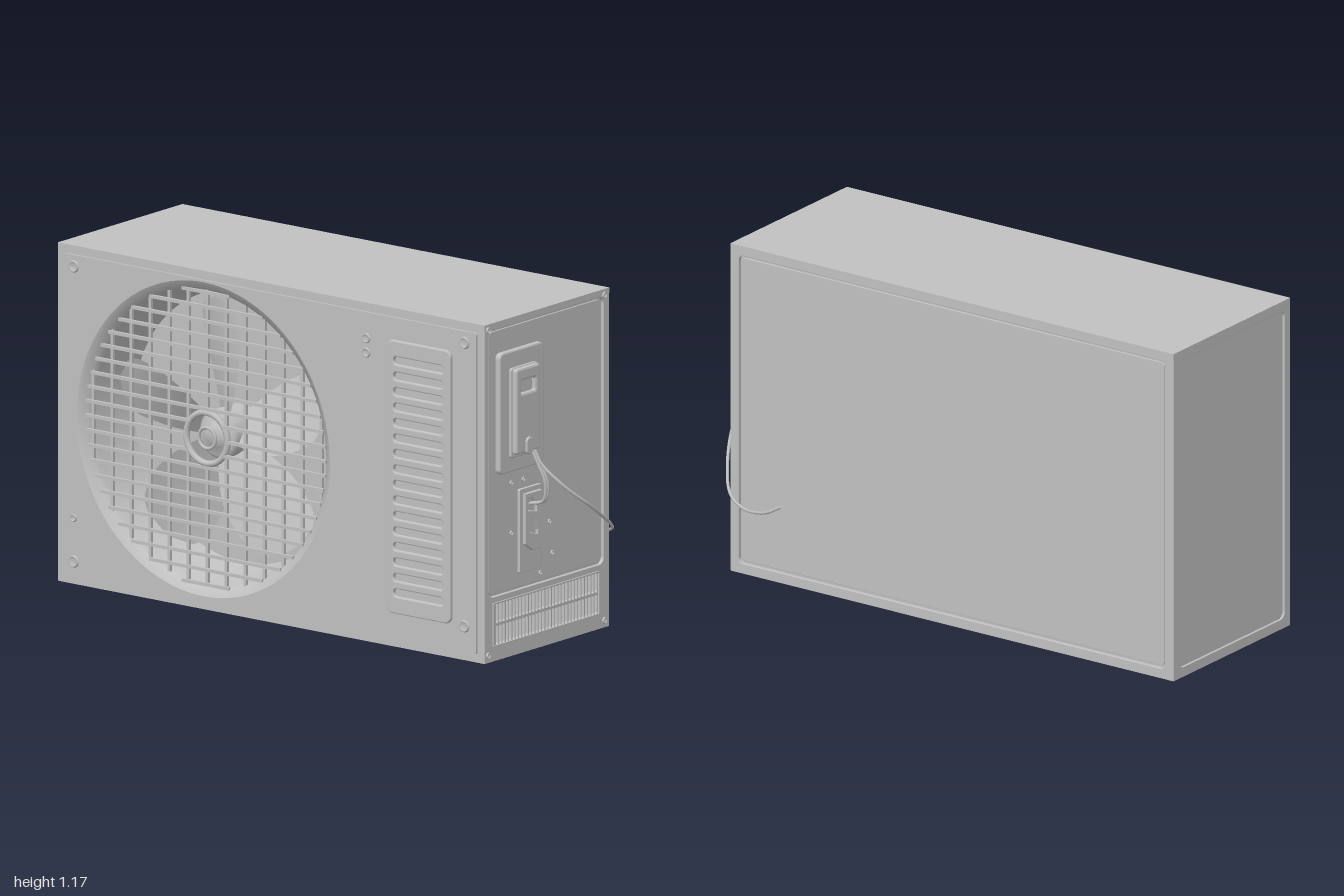
import * as THREE from 'three';

const grey = new THREE.MeshStandardMaterial({ color: 0xc0c0c0, side: THREE.DoubleSide });
grey.name = 'painted grey metal';

const X0 = -1, X1 = 0.83, H = 1.17, Z0 = -0.29, Z1 = 0.38;
const FAN = { x: -0.37, y: 0.59 };

function add(parent, name, geometry, x = 0, y = 0, z = 0) {
  const m = new THREE.Mesh(geometry, grey);
  m.name = name;
  m.position.set(x, y, z);
  parent.add(m);
  return m;
}

// Box given by its two corners
function block(parent, name, a, b) {
  const s = a.map((v, i) => b[i] - v), c = a.map((v, i) => (v + b[i]) / 2);
  return add(parent, name, new THREE.BoxGeometry(...s), ...c);
}

function roundRect(x0, y0, x1, y1, r, Type = THREE.Shape) {
  const s = new Type(), h = Math.PI / 2;
  s.absarc(x1 - r, y0 + r, r, -h, 0);
  s.absarc(x1 - r, y1 - r, r, 0, h);
  s.absarc(x0 + r, y1 - r, r, h, 2 * h);
  s.absarc(x0 + r, y0 + r, r, 2 * h, 3 * h);
  s.closePath();
  return s;
}
const slot = (...a) => roundRect(...a, THREE.Path);
const poly = pts => pts.map(p => new THREE.Vector2(...p));

// Plate between z0 and z1 with chamfered edges; the outline keeps its size
function plate(parent, name, shape, z0, z1, bevel = 0, holes = []) {
  shape.holes.push(...holes);
  const g = new THREE.ExtrudeGeometry(shape, {
    depth: z1 - z0 - 2 * bevel, bevelEnabled: bevel > 0, bevelSize: bevel, bevelThickness: bevel,
    bevelOffset: -bevel, bevelSegments: 2, curveSegments: 10,
  });
  return add(parent, name, g, 0, 0, z0 + bevel);
}

// Screw or knob: low disc with a raised rim
function screw(parent, x, y, z, r) {
  const pts = poly([[0, 0.002], [r * 0.6, 0.002], [r * 0.75, 0.006], [r * 0.9, 0.006], [r, 0]]);
  add(parent, 'screw', new THREE.LatheGeometry(pts, 18).rotateX(Math.PI / 2), x, y, z);
}

function side(root, name, ry, x, z) {
  const g = new THREE.Group();
  g.name = name;
  g.rotation.y = ry;
  g.position.set(x, 0, z);
  root.add(g);
  return g;
}

function fanBlade() {
  const g = new THREE.PlaneGeometry(2, 1, 10, 16), p = g.attributes.position;
  for (let i = 0; i < p.count; i++) {
    const u = p.getX(i), t = p.getY(i) + 0.5;
    const w = 0.05 + 0.07 * Math.sin(Math.min(t * 1.6, 1) * Math.PI / 2);
    const tip = Math.sqrt(Math.max(0, 1 - Math.pow(Math.max(0, (t - 0.75) / 0.25), 2)));
    const across = u * w * (0.15 + 0.85 * tip);
    p.setXYZ(i, across - 0.03 * t * t, 0.07 + 0.39 * t, across * (0.75 - 0.4 * t));
  }
  g.computeVertexNormals();
  return g;
}

function buildFront(root) {
  const g = side(root, 'front', 0, 0, 0);
  const opening = () => new THREE.Path(new THREE.EllipseCurve(FAN.x, FAN.y, 0.543, 0.543).getPoints(72));
  plate(g, 'frontPlate', roundRect(X0, 0, X1, H, 0.004), Z1 - 0.02, Z1, 0.003, [opening()]);
  plate(g, 'frontCover', roundRect(-0.97, 0.03, 0.8, 1.14, 0.01), Z1, 0.388, 0, [opening()]);

  // Funnel behind the grille
  const funnel = poly([[0.543, 0.388], [0.512, 0.368], [0.508, 0.34], [0.47, 0.17]]);
  const back = poly([[0.47, 0.17], [0, 0.17]]);
  add(g, 'fanShroud', new THREE.LatheGeometry(funnel, 72).rotateX(Math.PI / 2), FAN.x, FAN.y);
  add(g, 'shroudBack', new THREE.LatheGeometry(back, 72).rotateX(Math.PI / 2), FAN.x, FAN.y);

  // Fan
  const fan = new THREE.Group();
  fan.name = 'fan';
  fan.position.set(FAN.x, FAN.y, 0.27);
  g.add(fan);
  for (let i = 0; i < 5; i++) add(fan, 'fanBlade', fanBlade()).rotation.z = i * Math.PI * 2 / 5;
  const hub = poly([[0.085, -0.09], [0.085, 0.03], [0.07, 0.045], [0.04, 0.045], [0.035, 0.065], [0, 0.065]]);
  add(fan, 'fanHub', new THREE.LatheGeometry(hub, 36).rotateX(Math.PI / 2));

  // Grille
  const grille = new THREE.Group();
  grille.name = 'grille';
  grille.position.set(FAN.x, FAN.y, 0.368);
  g.add(grille);
  const R = 0.515;
  const bar = (d, vertical, t, z) => {
    const half = Math.sqrt(R * R - d * d), inner = Math.abs(d) < 0.085 ? Math.sqrt(0.0081 - d * d) : 0;
    const parts = inner ? [[-half, -inner], [inner, half]] : [[-half, half]];
    for (const [a, b] of parts) {
      const m = add(grille, 'grilleBar', new THREE.BoxGeometry(b - a, t, t), (a + b) / 2, d, z);
      if (vertical) { m.position.set(d, (a + b) / 2, z); m.rotation.z = Math.PI / 2; }
    }
  };
  for (let i = -10; i <= 10; i++) bar(i * 0.0505, false, 0.011, 0.004);
  for (let i = -6; i <= 6; i++) bar(i * 0.0815, true, 0.01, -0.004);
  add(grille, 'grilleHubRing', new THREE.TorusGeometry(0.088, 0.011, 10, 40));
  add(grille, 'grilleHubRing', new THREE.TorusGeometry(0.036, 0.006, 8, 28));

  // Slotted vent
  const slots = [];
  for (let i = 0; i < 16; i++) {
    const y = 0.193 + i * 0.0535;
    slots.push(slot(0.455, y - 0.013, 0.668, y + 0.013, 0.0125));
  }
  plate(g, 'ventPanel', roundRect(0.425, 0.12, 0.7, 1.065, 0.025), 0.386, 0.402, 0.005, slots);

  for (const [x, y, r] of [[-0.925, 1.1, 0.021], [-0.925, 0.08, 0.021], [0.75, 1.1, 0.021], [0.75, 0.12, 0.021],
    [-0.925, 0.23, 0.013], [0.33, 1.05, 0.017], [0.33, 1, 0.017]]) screw(g, x, y, 0.388, r);
}

// Right-hand face in the front view (+x); local x is -z
function buildServiceSide(root) {
  const g = side(root, 'serviceSide', Math.PI / 2, X1, 0);
  const slots = [slot(-0.358, 0.222, 0.26, 1.145, 0.025)];
  for (let i = 0; i < 31; i++) {
    const u = -0.313 + i * 0.0177;
    slots.push(slot(u - 0.0055, 0.055, u + 0.0055, 0.122, 0.0054), slot(u - 0.0055, 0.13, u + 0.0055, 0.197, 0.0054));
  }
  plate(g, 'serviceFrame', roundRect(-Z1, 0, -Z0, H, 0.004), -0.016, 0, 0.002, slots);
  block(g, 'servicePanel', [-0.37, 0.02, -0.03], [0.28, 1.15, -0.012]);
  plate(g, 'panelRim', roundRect(-0.351, 0.229, 0.253, 1.138, 0.02), -0.013, -0.007, 0.002);
  plate(g, 'ventBorder', roundRect(-0.338, 0.05, 0.235, 0.202, 0.004), -0.001, 0.004, 0.001,
    [slot(-0.333, 0.055, 0.23, 0.197, 0.004)]);
  for (const u of [-0.363, 0.262]) for (const y of [0.025, 1.15]) screw(g, u, y, 0, 0.011);

  // Control box
  plate(g, 'controlBase', roundRect(-0.315, 0.64, -0.078, 1.06, 0.02), -0.01, 0.014, 0.006);
  plate(g, 'controlSkirt', roundRect(-0.268, 0.69, -0.125, 1.003, 0.012), 0.012, 0.024, 0.005);
  plate(g, 'controlBox', roundRect(-0.262, 0.703, -0.131, 1, 0.012), 0.02, 0.042, 0.008,
    [slot(-0.235, 0.912, -0.158, 0.956, 0.006)]);
  plate(g, 'cableHood', roundRect(-0.214, 0.697, -0.18, 0.757, 0.016), 0.03, 0.05, 0.004);

  // Connector plate with two ports
  plate(g, 'connectorPlate', roundRect(-0.195, 0.277, -0.078, 0.567, 0.006), -0.01, 0.003, 0.002);
  const port1 = new THREE.Path(poly([[-0.163, 0.49], [-0.116, 0.48], [-0.116, 0.5], [-0.138, 0.53], [-0.163, 0.53]]));
  const port2 = new THREE.Path(poly([[-0.155, 0.415], [-0.11, 0.4], [-0.11, 0.415], [-0.13, 0.455], [-0.146, 0.455]]));
  const outline = new THREE.Shape(poly([[-0.178, 0.376], [-0.138, 0.348], [-0.09, 0.348], [-0.09, 0.55], [-0.178, 0.55]]));
  plate(g, 'connectorBlock', outline, 0, 0.014, 0.003, [port1, port2]);
  for (const [z, y] of [[0.23, 0.597], [0.165, 0.597], [0.23, 0.423], [0.025, 0.423], [0.01, 0.312], [0.075, 0.255]])
    screw(g, -z, y, -0.008, 0.008);
}

// Opposite face (-x); local x is z
function buildIntakeSide(root) {
  const g = side(root, 'intakeSide', -Math.PI / 2, X0, 0);
  plate(g, 'intakeFrame', roundRect(Z0, 0, Z1, H, 0.004), -0.016, 0, 0.002, [slot(-0.258, 0.035, 0.348, 1.135, 0.025)]);
  const slots = [];
  for (let i = 0; i < 7; i++) {
    const y = 0.138 + i * 0.143;
    slots.push(slot(-0.195, y - 0.044, 0.24, y + 0.044, 0.035));
    // Sloping louvre below, comb of fins above
    const louvre = add(g, 'louvre', new THREE.BoxGeometry(0.45, 0.095, 0.006), 0.022, y - 0.014, -0.052);
    louvre.rotation.x = -0.75;
    for (let k = 0; k < 15; k++) {
      const u = -0.17 + k * 0.0275;
      block(g, 'fin', [u - 0.005, y + 0.005, -0.08], [u + 0.005, y + 0.05, -0.028]);
    }
  }
  plate(g, 'intakePanel', roundRect(-0.275, 0.01, 0.365, 1.16, 0.004), -0.032, -0.008, 0.007, slots);
  block(g, 'intakeBacking', [-0.27, 0.02, -0.09], [0.33, 1.15, -0.085]);
}

function buildBack(root) {
  const g = side(root, 'back', Math.PI, 0, Z0);
  plate(g, 'backFrame', roundRect(-X1, 0, -X0, H, 0.004), -0.016, 0, 0.002, [slot(-0.795, 0.035, 0.965, 1.135, 0.02)]);
  block(g, 'backPanel', [-0.81, 0.01, -0.022], [0.98, 1.16, -0.012]);
  plate(g, 'backPanelRim', roundRect(-0.787, 0.043, 0.957, 1.127, 0.015), -0.013, -0.007, 0.002);
}

function buildCables(root) {
  const cable = (name, pts) => add(root, name, new THREE.TubeGeometry(
    new THREE.CatmullRomCurve3(pts.map(p => new THREE.Vector3(...p))), 70, 0.0055, 8));
  cable('longCable', [[0.86, 0.715, 0.155], [0.888, 0.66, 0.152], [0.955, 0.585, 0.115], [0.994, 0.51, 0.03],
    [0.96, 0.44, -0.09], [0.87, 0.365, -0.25], [0.765, 0.307, -0.375], [0.69, 0.28, -0.397],
    [0.645, 0.266, -0.36], [0.632, 0.265, -0.28]]);
  for (const d of [0, 0.012]) cable('shortCable', [[0.86, 0.715, 0.17 - d], [0.885, 0.66, 0.163 - d],
    [0.908, 0.59, 0.152 - d], [0.895, 0.53, 0.146 - d], [0.83, 0.508, 0.142 - d]]);
}

export function createModel() {
  const root = new THREE.Group();
  root.name = 'outdoorFanUnit';

  block(root, 'topPanel', [X0, H - 0.02, Z0], [X1, H, Z1]);

  // Base with a row of drain slots
  const drains = [];
  for (let i = 0; i < 18; i++) {
    const z = -0.19 + i * 0.0224;
    drains.push(slot(-0.9, z - 0.004, -0.88, z + 0.004, 0.0035));
  }
  plate(root, 'basePanel', roundRect(X0, Z0, X1, Z1, 0.004), -0.02, 0, 0, drains).rotation.x = Math.PI / 2;
  root.getObjectByName('basePanel').position.set(0, 0.02, 0);

  buildFront(root);
  buildServiceSide(root);
  buildIntakeSide(root);
  buildBack(root);
  buildCables(root);
  return root;
}
